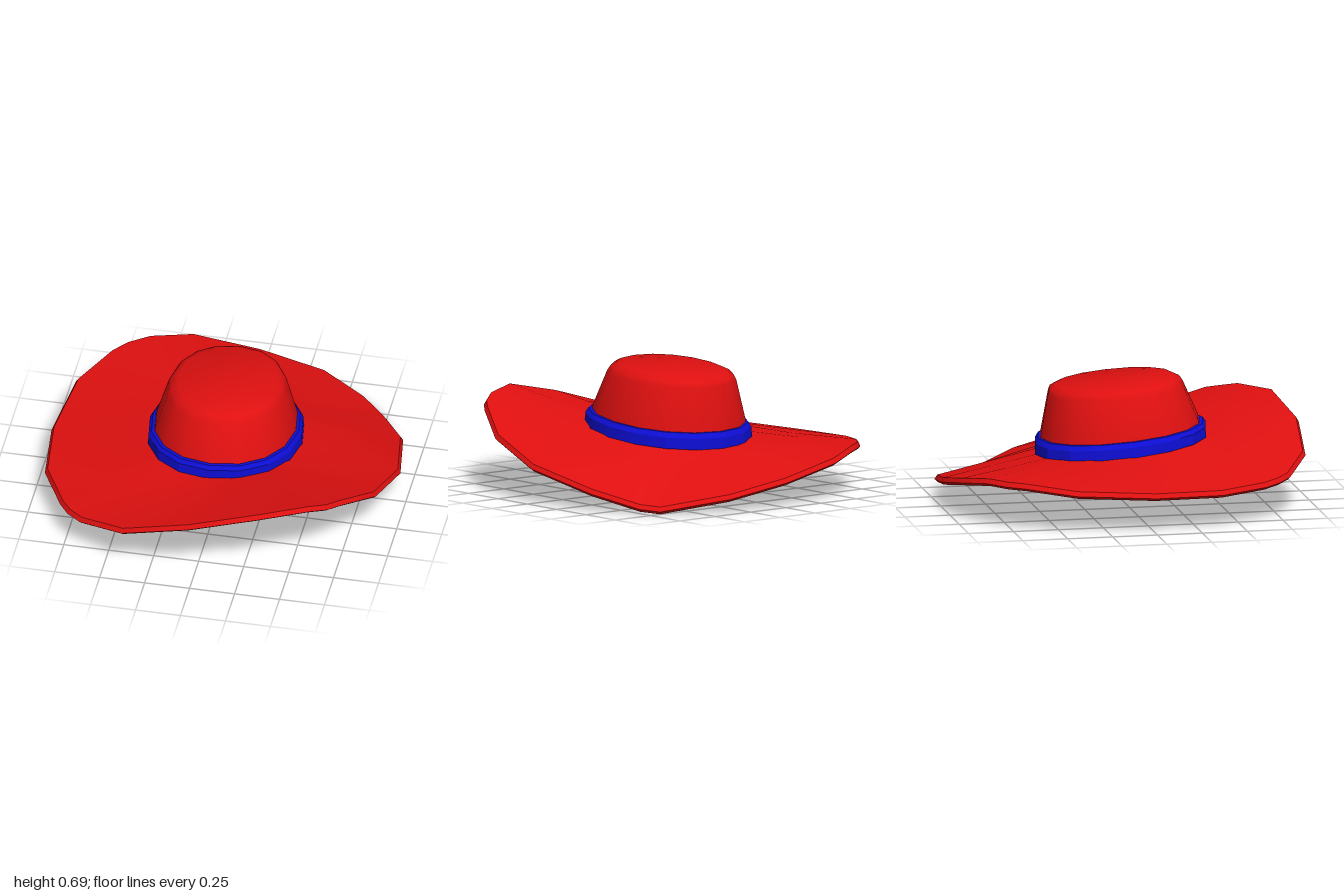
import * as THREE from 'three';
import { toCreasedNormals } from 'three/addons/utils/BufferGeometryUtils.js';

const V = (x, y, z) => new THREE.Vector3(x, y, z);

// Brim outline, walked from the left side (+x) through the front: x, z, height of lower edge
const OUTLINE = [
  [0.97, 0, 0.175], [0.91, 0.38, 0.29], [0.77, 0.64, 0.4], [0.71, 0.72, 0.42],
  [0.62, 0.79, 0.445], [0.37, 0.93, 0.455], [-0.01, 0.99, 0.375], [-0.39, 0.95, 0.265],
  [-0.65, 0.81, 0.2], [-0.73, 0.74, 0.19], [-0.79, 0.65, 0.18], [-0.93, 0.38, 0.175],
  [-0.97, 0, 0.18], [-0.92, -0.43, 0.2], [-0.78, -0.69, 0.225], [-0.71, -0.78, 0.225],
  [-0.6, -0.86, 0.225], [-0.38, -0.97, 0.19], [-0.01, -1, 0.12], [0.36, -0.96, 0.06],
  [0.6, -0.83, 0.02], [0.69, -0.76, 0], [0.76, -0.67, 0.01], [0.9, -0.42, 0.08],
];
const BRIM_ANGLES = OUTLINE.map(([x, z]) => Math.atan2(z, x));
const ROUND_ANGLES = Array.from({ length: 16 }, (_, i) => (i / 16) * Math.PI * 2);

// Slightly squared oval, tilted so that it rises towards the front
function oval(angles, rx, rz, cz, y, slope) {
  const soft = (v) => Math.sign(v) * Math.abs(v) ** 0.94;
  return angles.map((a) => {
    const z = cz + rz * soft(Math.sin(a));
    return V(rx * soft(Math.cos(a)), y + slope * z, z);
  });
}

// Skin over closed rings; rings that climb give outward faces
function loft(rings, crease) {
  const n = rings[0].length;
  const pos = [];
  const tri = (a, b, c) => {
    const area = b.clone().sub(a).cross(c.clone().sub(a)).length();
    if (area > 1e-9) for (const p of [a, b, c]) pos.push(p.x, p.y, p.z);
  };
  for (let i = 0; i < rings.length - 1; i++) {
    for (let j = 0; j < n; j++) {
      const k = (j + 1) % n;
      const [lo, hi] = [rings[i], rings[i + 1]];
      tri(lo[j], hi[j], lo[k]);
      tri(hi[j], hi[k], lo[k]);
    }
  }
  const geo = new THREE.BufferGeometry();
  geo.setAttribute('position', new THREE.Float32BufferAttribute(pos, 3));
  return toCreasedNormals(geo, crease);
}

export function createModel() {
  const felt = new THREE.MeshStandardMaterial({ color: 0xe01010 });
  felt.name = 'red felt';
  const ribbon = new THREE.MeshStandardMaterial({ color: 0x0e0ed6 });
  ribbon.name = 'blue ribbon';

  const hat = new THREE.Group();
  hat.name = 'hat';
  const add = (name, geo, mat) => {
    const mesh = new THREE.Mesh(geo, mat);
    mesh.name = name;
    hat.add(mesh);
  };

  // Brim: underside from the head opening outwards, round the rim, back in over the top
  const rim = (scale, lift) => OUTLINE.map(([x, z, y]) => V(x * scale, y + lift, z * scale));
  const blend = (a, b, t) => a.map((p, i) => p.clone().lerp(b[i], t));
  const opening = oval(BRIM_ANGLES, 0.34, 0.385, 0, 0.288, 0.1);
  const seat = oval(BRIM_ANGLES, 0.38, 0.43, 0, 0.318, 0.1);
  const under = rim(0.983, 0);
  const over = rim(0.985, 0.04);
  add('brim', loft([
    opening, blend(opening, under, 0.5), under,
    rim(1, 0.015), over,
    blend(over, seat, 0.5), seat,
  ], 0.5), felt);

  // Crown: tapering wall, rounded shoulder, tilted flat top
  add('crown', loft([
    oval(ROUND_ANGLES, 0.405, 0.455, 0, 0.31, 0.1),
    oval(ROUND_ANGLES, 0.385, 0.437, -0.005, 0.415, 0.09),
    oval(ROUND_ANGLES, 0.322, 0.375, -0.028, 0.62, 0.065),
    oval(ROUND_ANGLES, 0.304, 0.36, -0.033, 0.65, 0.07),
    oval(ROUND_ANGLES, 0.268, 0.325, -0.035, 0.668, 0.078),
    oval(ROUND_ANGLES, 0, 0, -0.035, 0.672, 0.08),
  ], 0.9), felt);

  // Hollow inside of the crown, facing inwards
  add('crownLining', loft([
    oval(BRIM_ANGLES, 0, 0, -0.03, 0.63, 0.08),
    oval(BRIM_ANGLES, 0.24, 0.29, -0.03, 0.625, 0.08),
    oval(BRIM_ANGLES, 0.275, 0.325, -0.025, 0.59, 0.07),
    opening,
  ], 0.9), felt);

  // Band wrapped round the foot of the crown
  add('hatBand', loft([
    oval(ROUND_ANGLES, 0.39, 0.44, 0, 0.31, 0.1),
    oval(ROUND_ANGLES, 0.425, 0.475, 0, 0.312, 0.1),
    oval(ROUND_ANGLES, 0.422, 0.473, 0, 0.37, 0.095),
    oval(ROUND_ANGLES, 0.405, 0.457, 0, 0.395, 0.09),
    oval(ROUND_ANGLES, 0.375, 0.427, 0, 0.397, 0.09),
  ], 0.4), ribbon);

  return hat;
}
